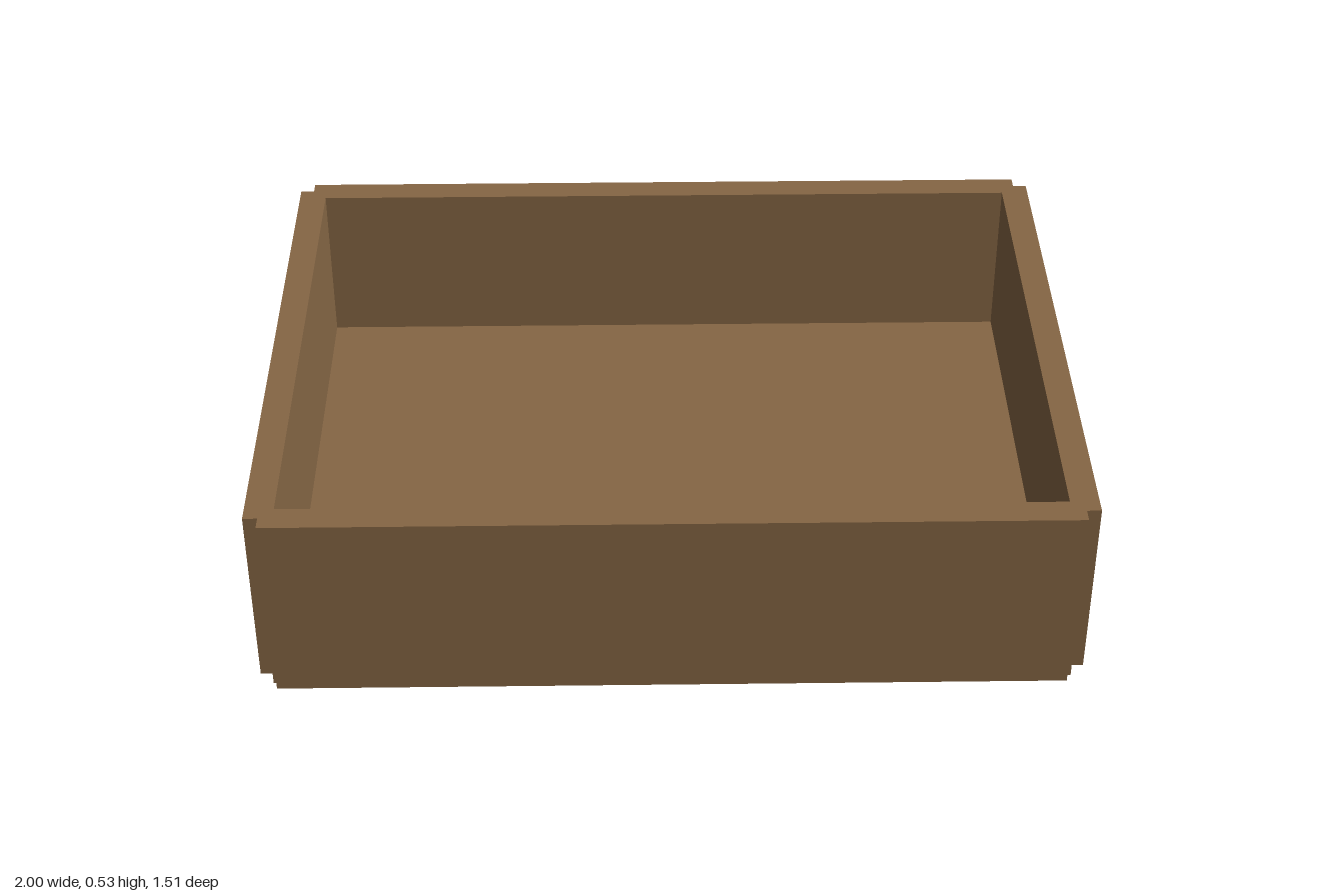
import * as THREE from 'three';

export function createModel() {
  const model = new THREE.Group();
  model.name = 'openBox';
  const wood = new THREE.MeshStandardMaterial({ color: 0x856644 });
  wood.name = 'brown wood';

  const addPanel = (name, size, position) => {
    const mesh = new THREE.Mesh(new THREE.BoxGeometry(...size), wood);
    mesh.name = name;
    mesh.position.set(...position);
    model.add(mesh);
  };

  const halfX = 0.965, halfZ = 0.722; // wall centre lines
  const thickness = 0.07;
  const wallBottom = 0.05, wallTop = 0.53;
  const wallHeight = wallTop - wallBottom;
  const wallY = (wallTop + wallBottom) / 2;

  // Floor panel reaches the middle of each wall and hangs slightly below them
  addPanel('floor', [halfX * 2, 0.1, halfZ * 2], [0, 0.05, 0]);

  // Walls in mirrored pairs, leaving a small notch at each corner
  for (const side of [1, -1]) {
    addPanel(side > 0 ? 'frontWall' : 'backWall',
      [halfX * 2, wallHeight, thickness], [0, wallY, side * halfZ]);
    addPanel(side > 0 ? 'leftWall' : 'rightWall',
      [thickness, wallHeight, halfZ * 2], [side * halfX, wallY, 0]);
  }
  return model;
}
